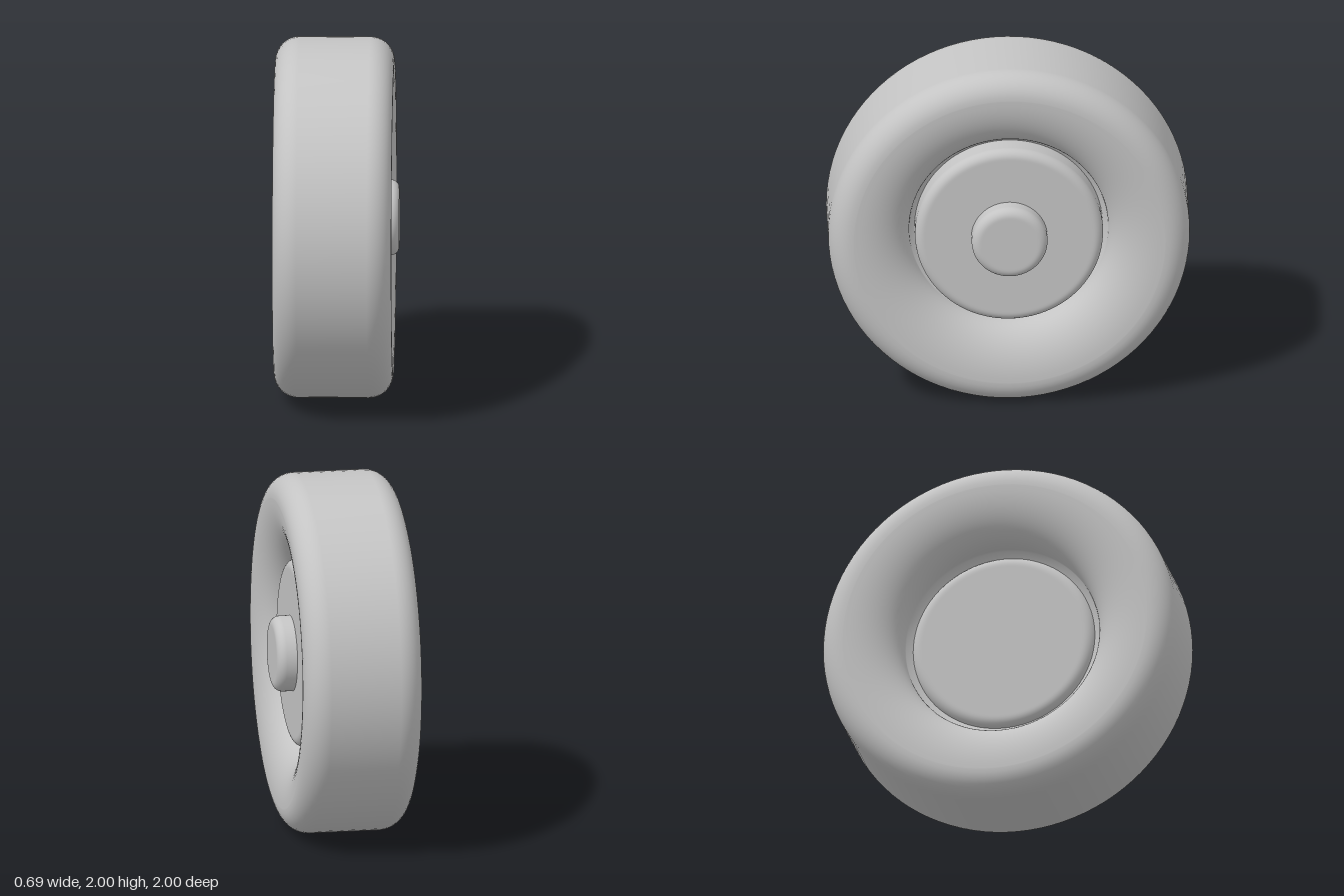
import * as THREE from 'three';

const SEGMENTS = 96;

// Points on a quarter ellipse in (radius, axial) space
function arc(r, x, ar, ax, from, to, steps = 10) {
  const pts = [];
  for (let i = 0; i <= steps; i++) {
    const a = from + (to - from) * i / steps;
    pts.push(new THREE.Vector2(r + ar * Math.cos(a), x + ax * Math.sin(a)));
  }
  return pts;
}

// Round a profile about the x axis
function turned(name, profile, material) {
  const geometry = new THREE.LatheGeometry(profile, SEGMENTS);
  geometry.rotateZ(-Math.PI / 2);
  const mesh = new THREE.Mesh(geometry, material);
  mesh.name = name;
  return mesh;
}

// Solid disc with rounded rims, from axial position back to front
function disc(radius, back, front, roundBack, roundFront) {
  const v = (r, x) => new THREE.Vector2(r, x);
  const q = Math.PI / 2;
  return [
    v(0, back), v(radius - roundBack - 0.01, back),
    ...arc(radius - roundBack, back + roundBack, roundBack, roundBack, -q, 0, 8),
    ...arc(radius - roundFront, front - roundFront, roundFront, roundFront, 0, q, 8),
    v(radius - roundFront - 0.01, front), v(0, front),
  ];
}

export function createModel() {
  const wheel = new THREE.Group();
  wheel.name = 'wheel';
  const grey = new THREE.MeshStandardMaterial({ color: 0xc4c4c4 });
  grey.name = 'light grey';

  // Tyre: flat tread, rounded shoulders, side walls rolling into the opening
  const q = Math.PI / 2, half = 0.33, shoulder = 0.135, roll = 0.21;
  const tyreProfile = [
    new THREE.Vector2(0.5, -0.09),
    ...arc(0.86, -half + roll, 0.31, roll, -2 * q, -q, 16),
    ...arc(1 - shoulder, -half + shoulder, shoulder, shoulder, -q, 0),
    ...arc(1 - shoulder, half - shoulder, shoulder, shoulder, 0, q),
    ...arc(0.86, half - roll, 0.31, roll, q, 2 * q, 16),
    new THREE.Vector2(0.5, 0.09),
  ];
  const tyre = turned('tyre', tyreProfile, grey);
  tyre.position.x = -0.015;
  wheel.add(tyre);

  // Wheel disc and the raised hub cap on its left face
  wheel.add(turned('wheelDisc', disc(0.52, -0.15, 0.237, 0.06, 0.05), grey));
  wheel.add(turned('hubCap', disc(0.21, 0.2, 0.345, 0.005, 0.05), grey));

  wheel.position.y = 1;
  const model = new THREE.Group();
  model.name = 'wheelModel';
  model.add(wheel);
  return model;
}
